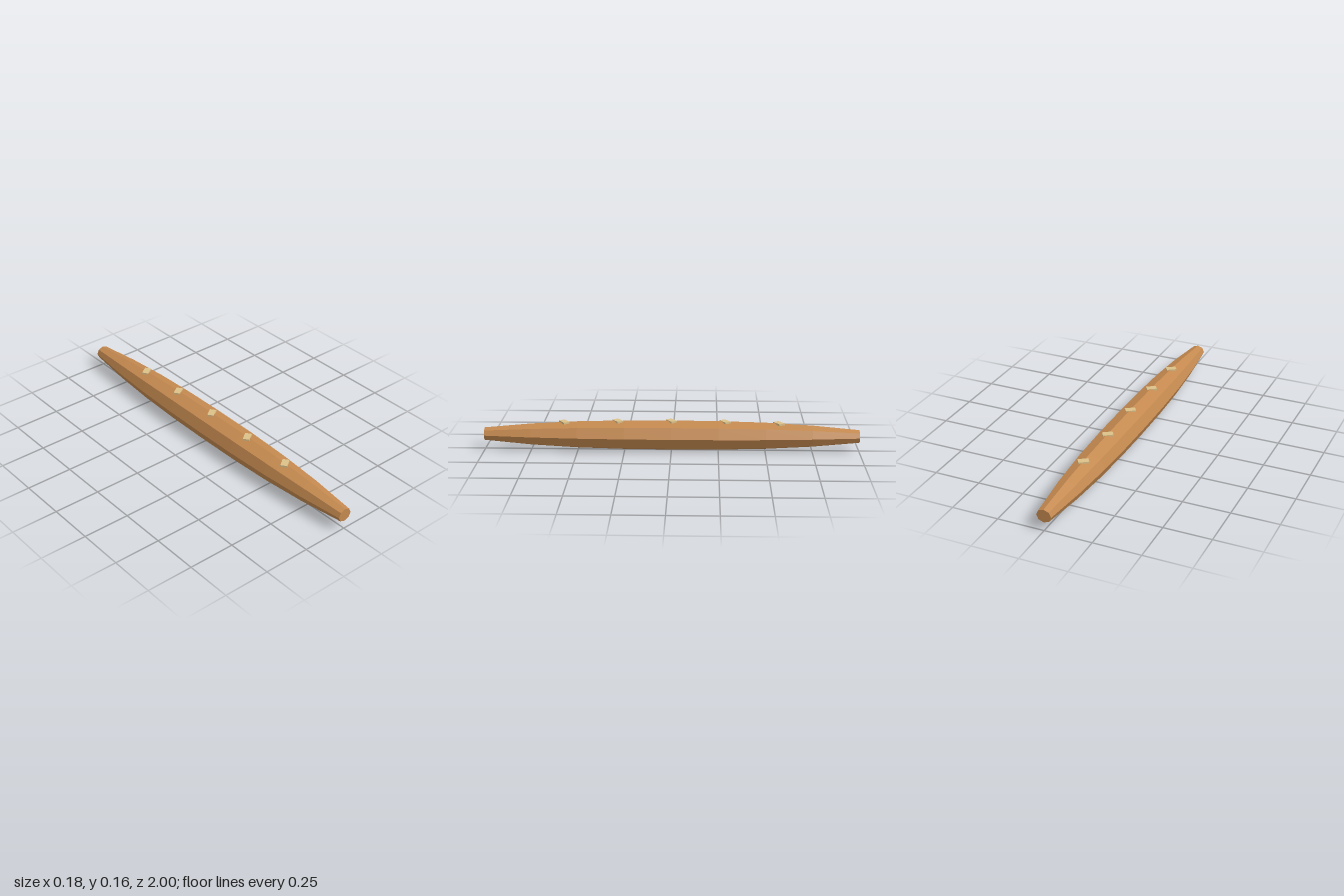
import * as THREE from 'three';

const CENTER_Y = 0.084, RX = 0.0905, RY = 0.081;

// Relative thickness of the loaf along its length (t from -1 to 1)
const taper = (t) => 1 - 0.565 * Math.pow(Math.abs(t), 2.5);

export function createModel() {
  const group = new THREE.Group();
  const crust = new THREE.MeshStandardMaterial({ color: 0xc4894f, flatShading: true });
  crust.name = 'crust';
  const crumb = new THREE.MeshStandardMaterial({ color: 0xdcc088, flatShading: true });
  crumb.name = 'crumb';

  // Long eight-sided loaf, narrowing to blunt ends
  const geometry = new THREE.CylinderGeometry(1, 1, 2, 8, 8);
  geometry.rotateX(Math.PI / 2);
  const p = geometry.attributes.position;
  for (let i = 0; i < p.count; i++) {
    const s = taper(p.getZ(i));
    p.setXY(i, p.getX(i) * RX * s, p.getY(i) * RY * s);
  }
  geometry.computeVertexNormals();
  const loaf = new THREE.Mesh(geometry, crust);
  loaf.name = 'loaf';
  loaf.position.y = CENTER_Y;
  group.add(loaf);

  // Diagonal scores along the ridge
  const scoreGeometry = new THREE.BoxGeometry(0.055, 0.01, 0.035);
  for (let i = -2; i <= 2; i++) {
    const z = i * 0.286;
    const score = new THREE.Mesh(scoreGeometry, crumb);
    score.name = 'score' + (i + 3);
    score.position.set(0, CENTER_Y + RY * taper(z) - 0.003, z);
    score.position.y = 0.162 - 0.0025 * i * i;
    score.rotation.y = 0.6;
    group.add(score);
  }
  return group;
}
